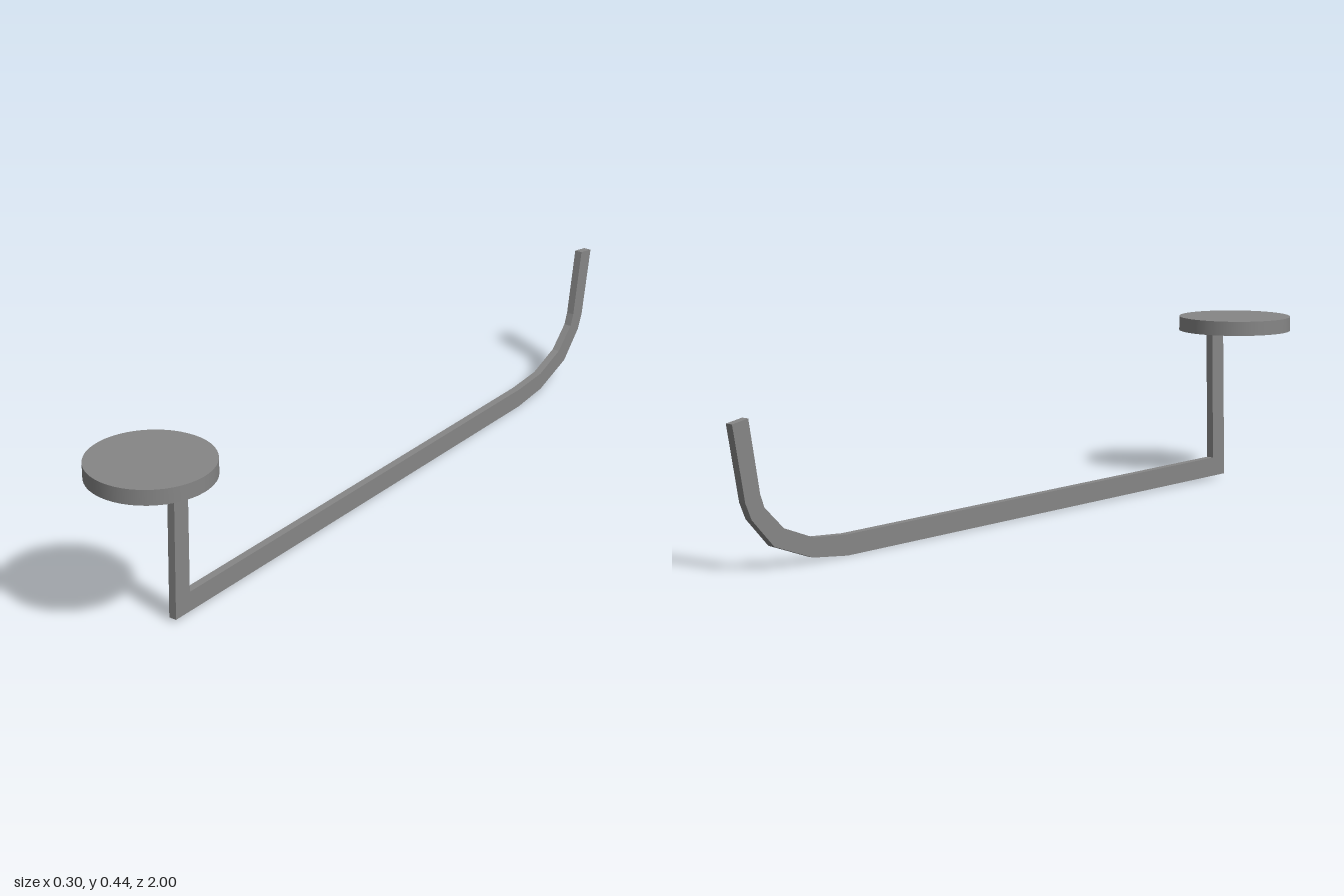
import * as THREE from 'three';

export function createModel() {
  const group = new THREE.Group();
  const material = new THREE.MeshStandardMaterial({ color: 0x868686 });

  // Bent flat bar: side profile as (z, y), post first, then rail and upturned hook
  const profile = [
    [0.785, 0.40], [0.797, 0.008], [-0.65, 0], [-0.76, 0.012], [-0.88, 0.055], [-0.947, 0.125], [-0.965, 0.165],
    [-1, 0.345], [-0.952, 0.353], [-0.92, 0.179], [-0.908, 0.148], [-0.85, 0.093], [-0.757, 0.058], [-0.65, 0.05],
    [0.745, 0.058], [0.737, 0.40],
  ].map(([z, y]) => new THREE.Vector2(z, y));
  const width = 0.02;
  const barGeometry = new THREE.ExtrudeGeometry(new THREE.Shape(profile), { depth: width, bevelEnabled: false });
  barGeometry.translate(0, 0, -width / 2).rotateY(-Math.PI / 2);
  const bar = new THREE.Mesh(barGeometry, material);
  bar.name = 'hookBar';
  bar.position.x = 0.001;
  group.add(bar);

  // Round plate on top of the post
  const disc = new THREE.Mesh(new THREE.CylinderGeometry(0.151, 0.151, 0.038, 48), material);
  disc.name = 'roundPlate';
  disc.position.set(0, 0.417, 0.849);
  group.add(disc);

  return group;
}
